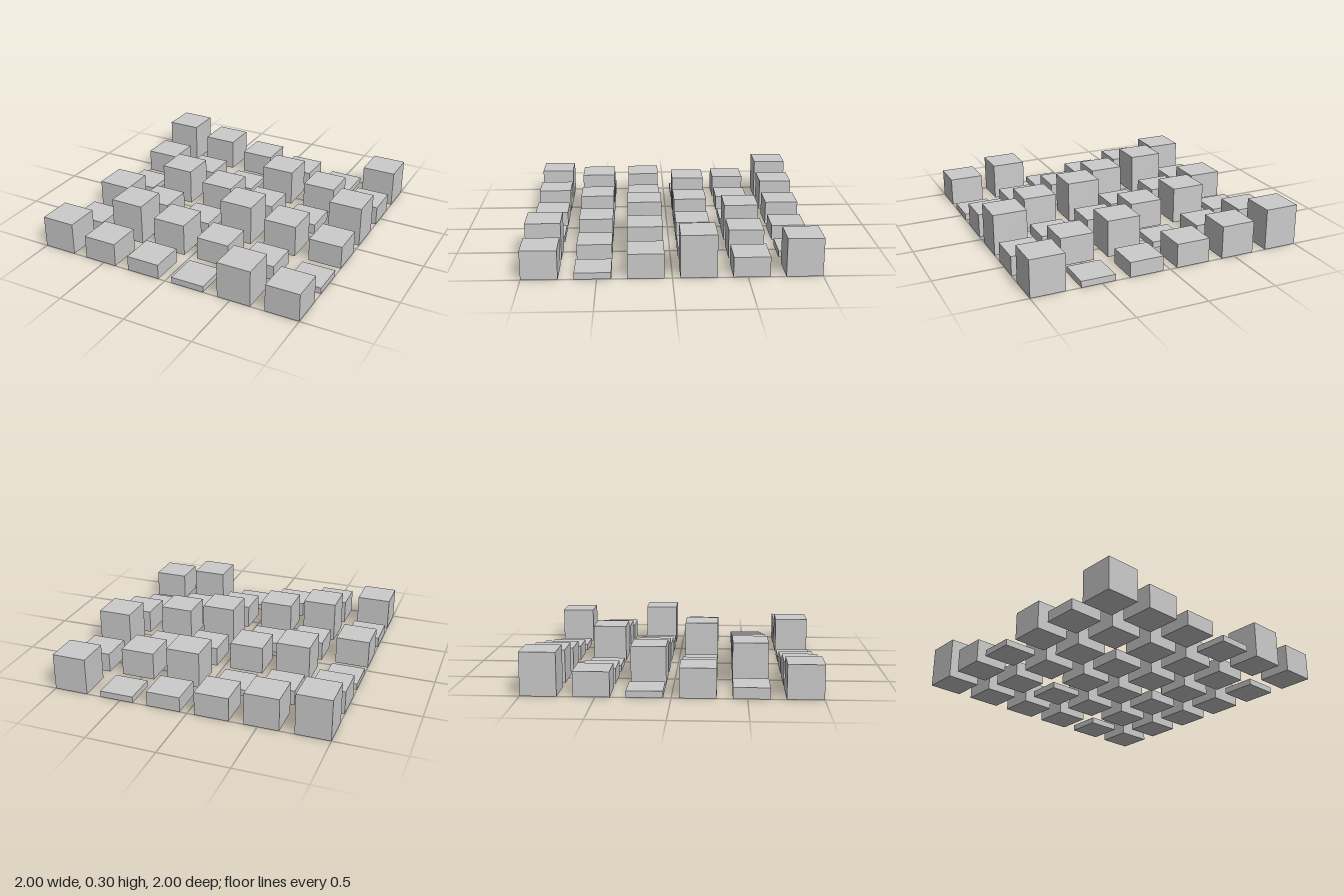
import * as THREE from 'three';

const UNIT = 2 / 57;          // six blocks of 7 units on a 10 unit pitch
const COUNT = 6, SIZE = 7 * UNIT, PITCH = 10 * UNIT;

export function createModel() {
  const model = new THREE.Group();
  model.name = 'blockGrid';
  const material = new THREE.MeshStandardMaterial({ color: 0xcccccc, flatShading: true });
  const centre = (n) => (n - (COUNT - 1) / 2) * PITCH;

  // rows run back to front, columns run from -x to +x
  for (let row = 0; row < COUNT; row++) {
    const rowGroup = new THREE.Group();
    rowGroup.name = `blockRow${row + 1}`;
    rowGroup.position.z = centre(row);
    for (let col = 0; col < COUNT; col++) {
      // nine height steps, cycling across the grid
      const step = (8 + 7 * col + 5 * row) % 9;
      const height = (1.3 + 0.9 * step) * UNIT;
      const block = new THREE.Mesh(new THREE.BoxGeometry(SIZE, height, SIZE), material);
      block.name = `block${row + 1}_${col + 1}`;
      block.position.set(centre(col), height / 2, 0);
      rowGroup.add(block);
    }
    model.add(rowGroup);
  }
  return model;
}
